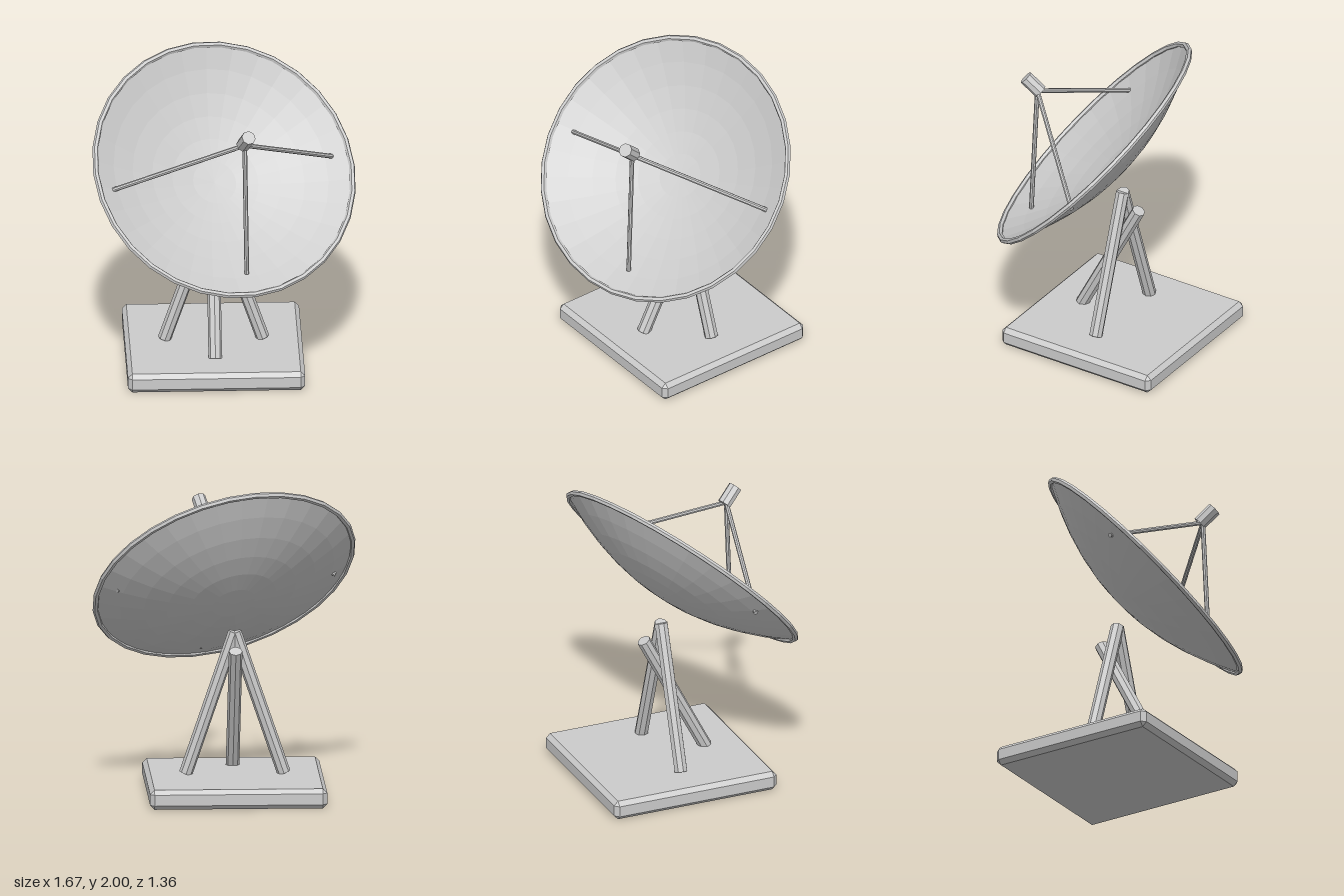
import * as THREE from 'three';
import { ConvexGeometry } from 'three/addons/geometries/ConvexGeometry.js';

const UP = new THREE.Vector3(0, 1, 0);
const V = (x, y, z) => new THREE.Vector3(x, y, z);

const grey = new THREE.MeshStandardMaterial({ color: 0xcccccc, flatShading: true });
const thinGrey = new THREE.MeshStandardMaterial({ color: 0xcccccc, flatShading: true, side: THREE.DoubleSide });

function addMesh(parent, name, geometry, material = grey) {
  const mesh = new THREE.Mesh(geometry, material);
  mesh.name = name;
  parent.add(mesh);
  return mesh;
}

// Straight round bar between two points
function addRod(parent, name, from, to, radius, sides = 8) {
  const along = to.clone().sub(from);
  const rod = addMesh(parent, name, new THREE.CylinderGeometry(radius, radius, along.length(), sides));
  rod.position.copy(from).add(to).multiplyScalar(0.5);
  rod.quaternion.setFromUnitVectors(UP, along.normalize());
  return rod;
}

// Box with every edge cut at 45 degrees
function chamferedBox(w, h, d, c) {
  const points = [];
  for (const sx of [-1, 1]) for (const sy of [-1, 1]) for (const sz of [-1, 1]) {
    const x = w / 2, y = h / 2, z = d / 2;
    points.push(V(sx * x, sy * (y - c), sz * (z - c)));
    points.push(V(sx * (x - c), sy * y, sz * (z - c)));
    points.push(V(sx * (x - c), sy * (y - c), sz * z));
  }
  return new ConvexGeometry(points);
}

export function createModel() {
  const model = new THREE.Group();
  model.name = 'satelliteDish';

  // Square foot slab
  addMesh(model, 'base', chamferedBox(1.12, 0.126, 1.12, 0.028)).position.set(-0.06, 0.063, -0.122);

  // Tripod: two side legs meeting at the apex, one leaning front leg
  const legs = new THREE.Group();
  legs.name = 'legs';
  model.add(legs);
  for (const [name, side] of [['rightLeg', -1], ['leftLeg', 1]]) {
    addRod(legs, name, V(-0.06 + side * 0.31, 0.13, -0.122), V(-0.06, 1.035, -0.122), 0.043);
  }
  addRod(legs, 'frontLeg', V(-0.06, 0.12, 0.18), V(-0.06, 0.935, -0.243), 0.043);

  // Tilted reflector with its open side along the aim direction
  const aim = V(0.24, 0.686, 0.686).normalize();
  const dish = new THREE.Group();
  dish.name = 'dish';
  dish.position.set(0, 1.37, 0.05);
  dish.quaternion.setFromUnitVectors(UP, aim);
  model.add(dish);

  const radius = 0.845, depth = 0.23, segments = 30, rings = 6;
  const profile = [];
  for (let i = 0; i <= rings; i++) {
    const t = i / rings;
    profile.push(new THREE.Vector2(radius * t, depth * (t * t - 1)));
  }
  addMesh(dish, 'reflector', new THREE.LatheGeometry(profile, segments), thinGrey);
  addMesh(dish, 'rim', new THREE.TorusGeometry(radius, 0.019, 6, segments).rotateX(Math.PI / 2));

  // Feed horn held in front of the reflector by three struts
  const feedCentre = V(0.125, 1.74, 0.432);
  const half = aim.clone().multiplyScalar(0.066);
  addRod(model, 'feedHorn', feedCentre.clone().sub(half), feedCentre.clone().add(half), 0.045);

  const struts = new THREE.Group();
  struts.name = 'feedStruts';
  model.add(struts);
  const feedFoot = V(0.118, 1.7, 0.405);
  const strutEnds = [
    ['lowerStrut', V(0.13, 0.825, 0.442)],
    ['rightStrut', V(-0.715, 1.328, 0.243)],
    ['leftStrut', V(0.69, 1.328, -0.225)],
  ];
  for (const [name, end] of strutEnds) addRod(struts, name, feedFoot, end, 0.015);

  return model;
}
